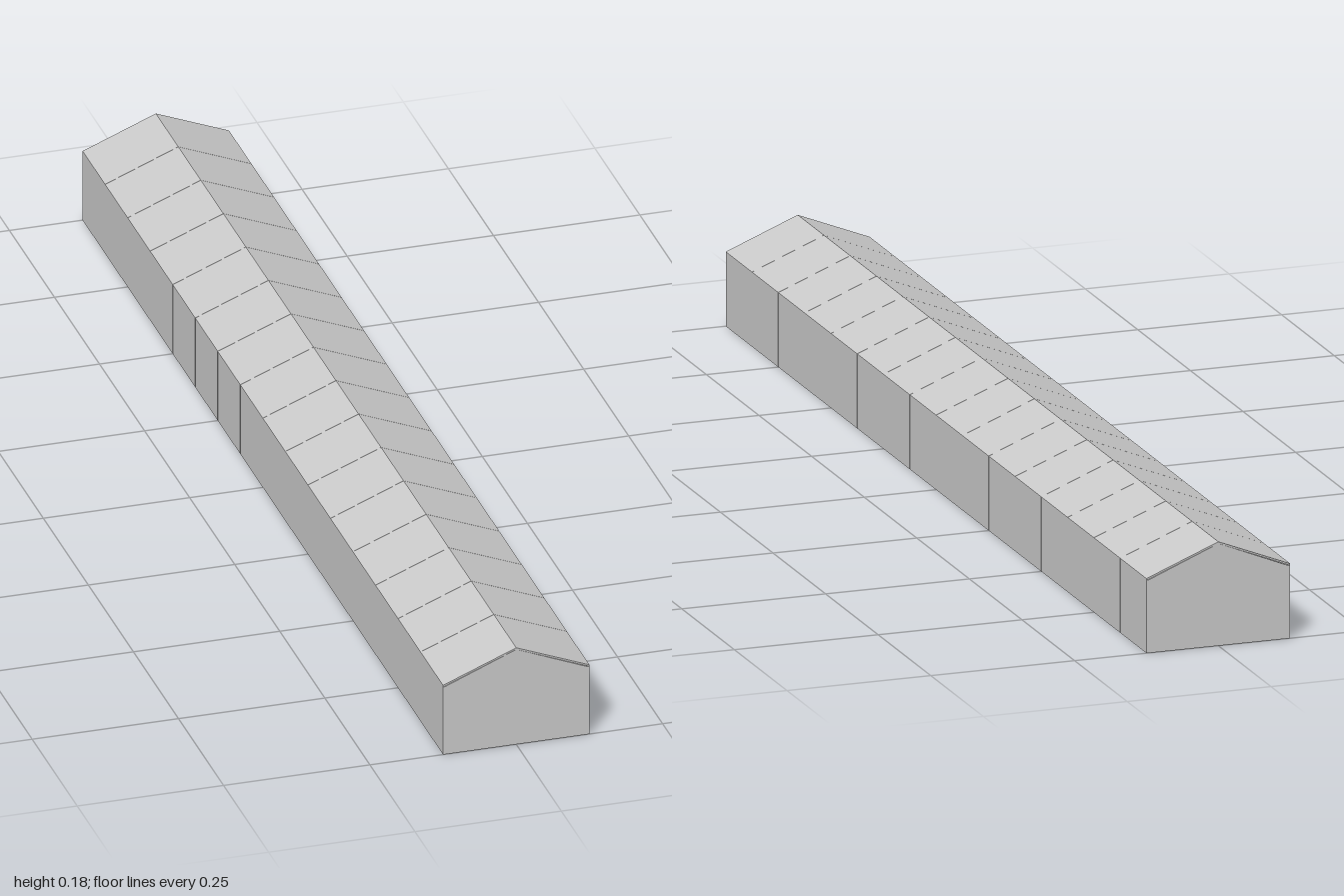
import * as THREE from 'three';

const LENGTH = 2, BAYS = 16, HALF = 0.125, EAVE = 0.127, RIDGE = 0.177, T = 0.003;
const BAY = LENGTH / BAYS;
const SEAM = 0.0006; // hairline joint between neighbouring panels

// Prism from an x/y outline, running along z and centred on its own origin
function prism(points, depth) {
  const shape = new THREE.Shape(points.map(([x, y]) => new THREE.Vector2(x, y)));
  const geometry = new THREE.ExtrudeGeometry(shape, { depth, bevelEnabled: false });
  return geometry.translate(0, 0, -depth / 2);
}

export function createModel() {
  const model = new THREE.Group();
  model.name = 'longGabledShell';
  const material = new THREE.MeshStandardMaterial({
    color: 0xcccccc, flatShading: true, side: THREE.DoubleSide,
  });

  function add(parent, name, geometry, z = 0) {
    const mesh = new THREE.Mesh(geometry, material);
    mesh.name = name;
    mesh.position.z = z;
    parent.add(mesh);
  }

  // Wall and roof panel outlines for each side
  const panels = [1, -1].map((s) => ({
    side: s > 0 ? 'left' : 'right',
    wall: prism([[s * (HALF - T), 0], [s * HALF, 0], [s * HALF, EAVE - T], [s * (HALF - T), EAVE - T]], BAY - SEAM),
    roof: prism([[s * HALF, EAVE - T], [s * HALF, EAVE], [0, RIDGE], [0, RIDGE - T]], BAY - SEAM),
  }));

  // Repeating bays, open underneath
  for (let i = 0; i < BAYS; i++) {
    const bay = new THREE.Group();
    bay.name = `bay${i + 1}`;
    bay.position.z = -LENGTH / 2 + (i + 0.5) * BAY;
    for (const { side, wall, roof } of panels) {
      add(bay, `${side}Wall`, wall);
      add(bay, `${side}Roof`, roof);
    }
    model.add(bay);
  }

  // Gable ends, fitted inside the walls and roof
  const w = HALF - T;
  const gable = prism([[-w, 0], [w, 0], [w, EAVE - T], [0, RIDGE - T], [-w, EAVE - T]], T);
  add(model, 'frontGable', gable, LENGTH / 2 - T / 2);
  add(model, 'backGable', gable, -LENGTH / 2 + T / 2);

  return model;
}
